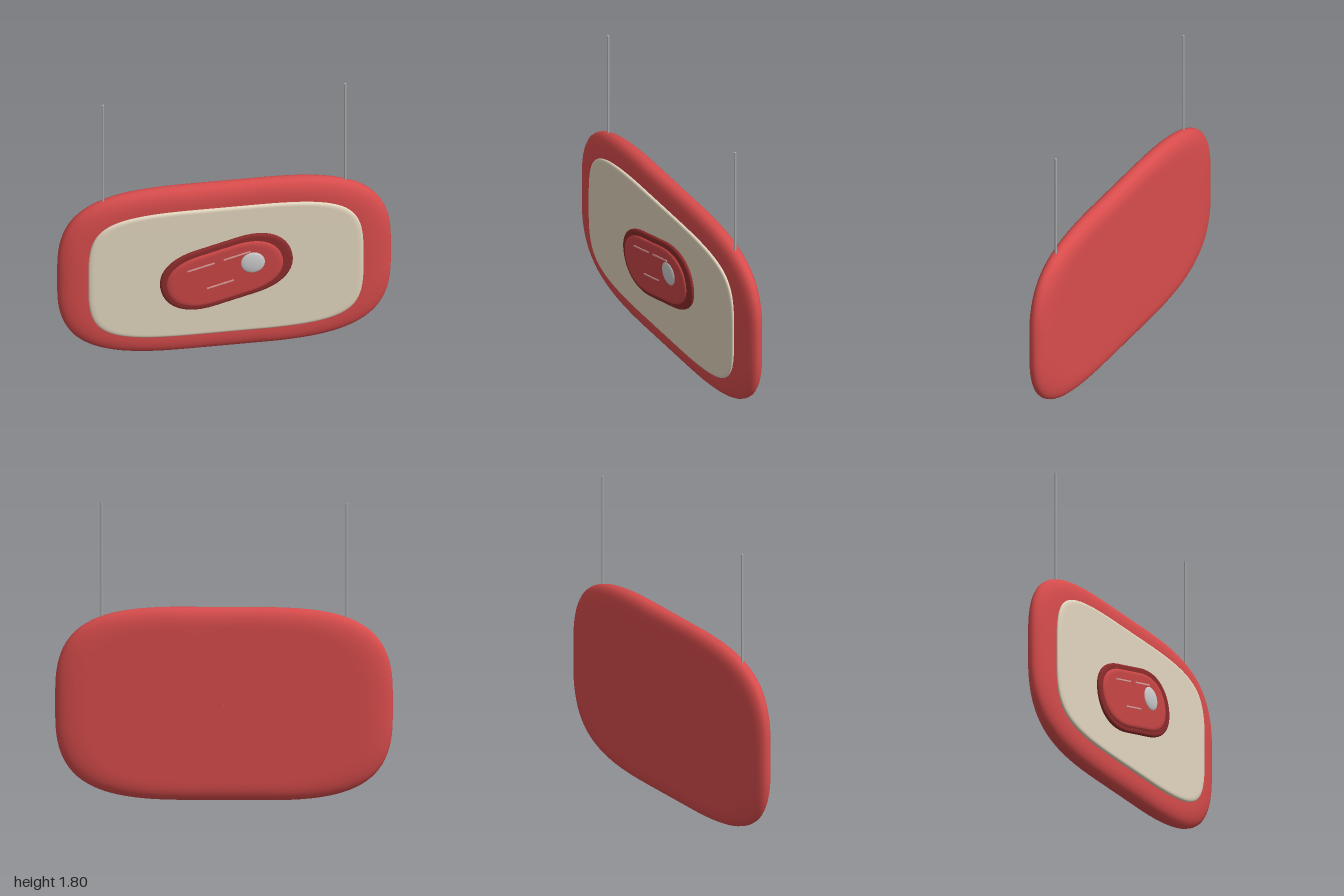
import * as THREE from 'three';

const mat = (color) => new THREE.MeshStandardMaterial({ color });

// Soft rounded-rectangle outline; fx, fy are the half lengths of the straight runs,
// kx, ky place the corner handles.
function outline({ a, b, fx, fy, kx, ky }) {
  const corner = new THREE.CubicBezierCurve(
    new THREE.Vector2(a, fy), new THREE.Vector2(a, ky),
    new THREE.Vector2(kx, b), new THREE.Vector2(fx, b)).getPoints(24);
  const pts = [];
  for (let q = 0; q < 4; q++) {
    const sx = q === 0 || q === 3 ? 1 : -1, sy = q < 2 ? 1 : -1;
    const run = q % 2 ? [...corner].reverse() : corner;
    for (const p of run) pts.push([p.x * sx, p.y * sy]);
  }
  return pts.filter((p, i) => {
    const n = pts[(i + 1) % pts.length];
    return Math.hypot(p[0] - n[0], p[1] - n[1]) > 1e-5;
  });
}

// Pillow: rings of the outline shrink by `inset` towards both faces along a rounded edge.
function pillow(shape, z0, z1, inset, power = 2.3) {
  const pts = outline(shape), n = pts.length, rings = [];
  const mid = (z0 + z1) / 2, half = (z1 - z0) / 2, steps = 16;
  rings.push([0.001, z0], [(1 - inset) * 0.6, z0]);
  for (let i = 0; i <= steps; i++) {
    const t = -Math.PI / 2 + Math.PI * i / steps;
    const c = Math.pow(Math.max(0, Math.cos(t)), 2 / power);
    const s = Math.sign(t) * Math.pow(Math.abs(Math.sin(t)), 2 / power);
    rings.push([1 - inset + inset * c, mid + half * s]);
  }
  rings.push([(1 - inset) * 0.6, z1], [0.001, z1]);
  const pos = [], idx = [];
  for (const [s, z] of rings) for (const [x, y] of pts) pos.push(x * s, y * s, z);
  for (let r = 0; r < rings.length - 1; r++) {
    for (let i = 0; i < n; i++) {
      const j = (i + 1) % n, p = r * n, q = p + n;
      idx.push(p + i, p + j, q + j, p + i, q + j, q + i);
    }
  }
  const g = new THREE.BufferGeometry();
  g.setAttribute('position', new THREE.Float32BufferAttribute(pos, 3));
  g.setIndex(idx);
  g.computeVertexNormals();
  return g;
}

export function createModel() {
  const model = new THREE.Group();
  const add = (name, geometry, color, x = 0, y = 0, z = 0, tilt = 0) => {
    const mesh = new THREE.Mesh(geometry, mat(color));
    mesh.name = name;
    mesh.position.set(x, y, z);
    mesh.rotation.z = tilt;
    model.add(mesh);
    return mesh;
  };

  // Sign board and raised cream panel
  add('board', pillow({ a: 1, b: 0.585, fx: 0.25, fy: 0.09, kx: 0.75, ky: 0.49 },
    -0.095, 0.03, 0.2), 0xd84c4c, 0, 0.588);
  add('panel', pillow({ a: 0.825, b: 0.448, fx: 0.2, fy: 0.06, kx: 0.75, ky: 0.37 },
    0.028, 0.054, 0.05), 0xe3d6bf, 0, 0.59);

  // Tilted oval emblem in two tiers
  const tilt = 0.27;
  add('emblemBase', pillow({ a: 0.405, b: 0.21, fx: 0.13, fy: 0, kx: 0.3, ky: 0.13 },
    0.045, 0.073, 0.08), 0x8c2c2c, 0, 0.59, 0, tilt);
  add('emblemFace', pillow({ a: 0.357, b: 0.178, fx: 0.11, fy: 0, kx: 0.265, ky: 0.11 },
    0.055, 0.086, 0.15), 0xc94646, -0.012, 0.583, 0, tilt);

  // Pale round highlight
  const dot = add('highlightDot', new THREE.SphereGeometry(0.073, 32, 20), 0xf0f0f0, 0.155, 0.655, 0.084);
  dot.scale.z = 0.2;

  // Thin highlight strokes
  for (const [x, y] of [[-0.155, 0.654], [0.06, 0.715], [-0.04, 0.52]]) {
    add('highlightStroke', new THREE.BoxGeometry(0.168, 0.009, 0.008), 0xe0a09c, x, y, 0.086, tilt);
  }

  // Hanging rods
  for (const side of [-1, 1]) {
    add(side < 0 ? 'rightRod' : 'leftRod',
      new THREE.CylinderGeometry(0.007, 0.007, 0.73, 12), 0xaaaaaa, side * 0.726, 1.442, -0.03);
  }
  return model;
}
